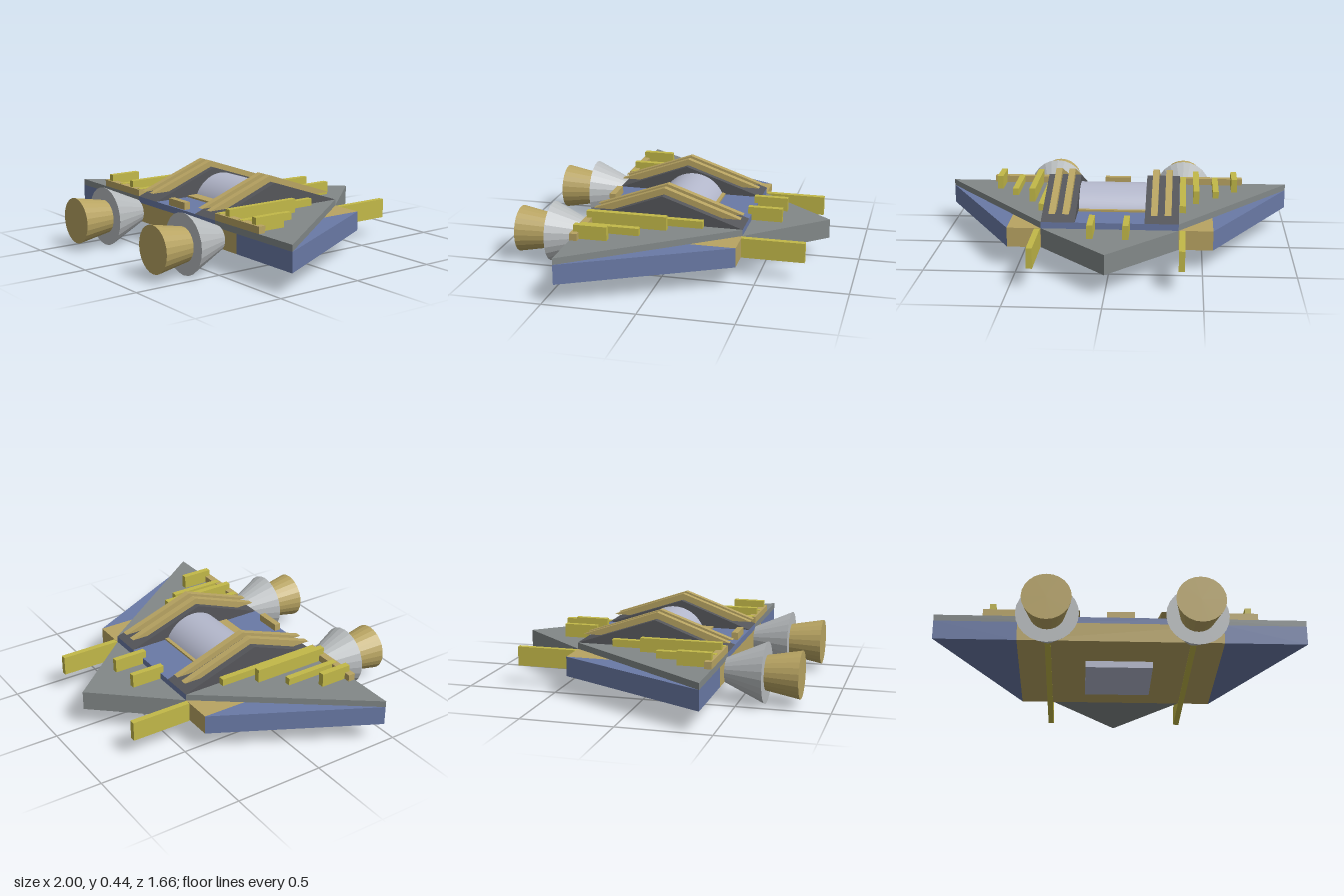
import * as THREE from 'three';

const mat = (color) => new THREE.MeshStandardMaterial({ color, flatShading: true });
const tan = mat(0xb8a462), yellow = mat(0xc2b848), blue = mat(0x6a7aa6), grey = mat(0x828888);
const dark = mat(0x55565a), steel = mat(0xb8bcbe);
const pale = new THREE.MeshStandardMaterial({ color: 0xb4b8cc });

export function createModel() {
  const group = new THREE.Group();

  const add = (name, geometry, material) => {
    const mesh = new THREE.Mesh(geometry, material);
    mesh.name = name;
    group.add(mesh);
    return mesh;
  };
  // Box given by its limits on each axis
  const box = (name, material, x0, x1, y0, y1, z0, z1) => {
    const g = new THREE.BoxGeometry(Math.abs(x1 - x0), y1 - y0, z1 - z0);
    g.translate((x0 + x1) / 2, (y0 + y1) / 2, (z0 + z1) / 2);
    return add(name, g, material);
  };
  // Flat plate from an (x, z) outline, raised from y0 to y1
  const plate = (name, material, outline, y0, y1) => {
    const shape = new THREE.Shape(outline.map(([x, z]) => new THREE.Vector2(x, -z)));
    const g = new THREE.ExtrudeGeometry(shape, { depth: y1 - y0, bevelEnabled: false });
    g.rotateX(-Math.PI / 2).translate(0, y0, 0);
    return add(name, g, material);
  };
  // Ridge from a (z, y) profile, spanning x0 to x1
  const ridge = (name, material, profile, x0, x1) => {
    const shape = new THREE.Shape(profile.map(([z, y]) => new THREE.Vector2(-z, y)));
    const g = new THREE.ExtrudeGeometry(shape, { depth: Math.abs(x1 - x0), bevelEnabled: false });
    g.rotateY(Math.PI / 2).translate(Math.min(x0, x1), 0, 0);
    return add(name, g, material);
  };

  // Hull, deck and pointed nose
  box('hull', tan, -0.555, 0.555, 0.118, 0.225, -0.41, 0.43);
  box('deck', blue, -0.37, 0.37, 0.225, 0.26, -0.41, 0.43);
  plate('nose', grey, [[0, -0.83], [0.37, -0.41], [-0.37, -0.41]], 0.118, 0.225);

  // Central drum on its bed, belly hatch and front step
  box('drumBed', tan, -0.185, 0.185, 0.26, 0.27, -0.2, 0.22);
  const drum = new THREE.CylinderGeometry(0.185, 0.185, 0.37, 40, 1, false, 0, Math.PI);
  drum.rotateZ(Math.PI / 2).translate(0, 0.19, -0.013);
  add('drum', drum, pale);
  box('bellyHatch', pale, -0.185, 0.185, 0.08, 0.15, -0.2, 0.18);
  box('frontStep', tan, -0.075, 0.075, 0.26, 0.3, 0.385, 0.42);

  for (const s of [1, -1]) {
    const side = s > 0 ? 'left' : 'right';

    // Wing: blue lower wedge and grey top plate
    plate(side + 'LowerWing', blue, [[s * 0.555, -0.41], [s, 0.43], [s * 0.555, 0.43]], 0.118, 0.225);
    plate(side + 'UpperWing', grey, [[s * 0.37, -0.41], [s, 0.43], [s * 0.37, 0.43]], 0.225, 0.26);

    // Peaked ridge with two raised ribs
    ridge(side + 'Ridge', dark, [[0.43, 0.26], [0.03, 0.41], [-0.41, 0.26]], s * 0.187, s * 0.37);
    for (const x of [0.238, 0.312])
      ridge(side + 'RidgeRib', tan, [[0.43, 0.3], [0.03, 0.445], [-0.39, 0.3]], s * (x - 0.018), s * (x + 0.018));

    // Wing bars: [x, top, back end, front end]
    box(side + 'CrossBar', tan, s * 0.37, s * 0.74, 0.26, 0.298, 0.39, 0.43);
    for (const [x, top, z0, z1] of [[0.39, 0.3, -0.2, 0.42], [0.465, 0.335, -0.02, 0.42],
      [0.578, 0.3, 0.1, 0.42], [0.688, 0.335, 0.24, 0.42]])
      box(side + 'WingBar', yellow, s * (x - 0.017), s * (x + 0.017), 0.26, top, z0, z1);

    // Long beam through the hull and short nose bar
    box(side + 'LongBeam', yellow, s * 0.374, s * 0.406, 0.116, 0.224, -0.75, 0.428);
    box(side + 'NoseBar', yellow, s * 0.078, s * 0.11, 0.2, 0.3, -0.58, -0.39);

    // Engine: flared cone and nozzle, both opening towards +z
    const cone = new THREE.CylinderGeometry(0.165, 0.055, 0.245, 24);
    cone.rotateX(Math.PI / 2).translate(s * 0.39, 0.17, 0.5225);
    add(side + 'EngineCone', cone, steel);
    const nozzle = new THREE.CylinderGeometry(0.128, 0.093, 0.187, 24);
    nozzle.rotateX(Math.PI / 2).translate(s * 0.39, 0.17, 0.7365);
    add(side + 'EngineNozzle', nozzle, tan);
  }
  return group;
}
